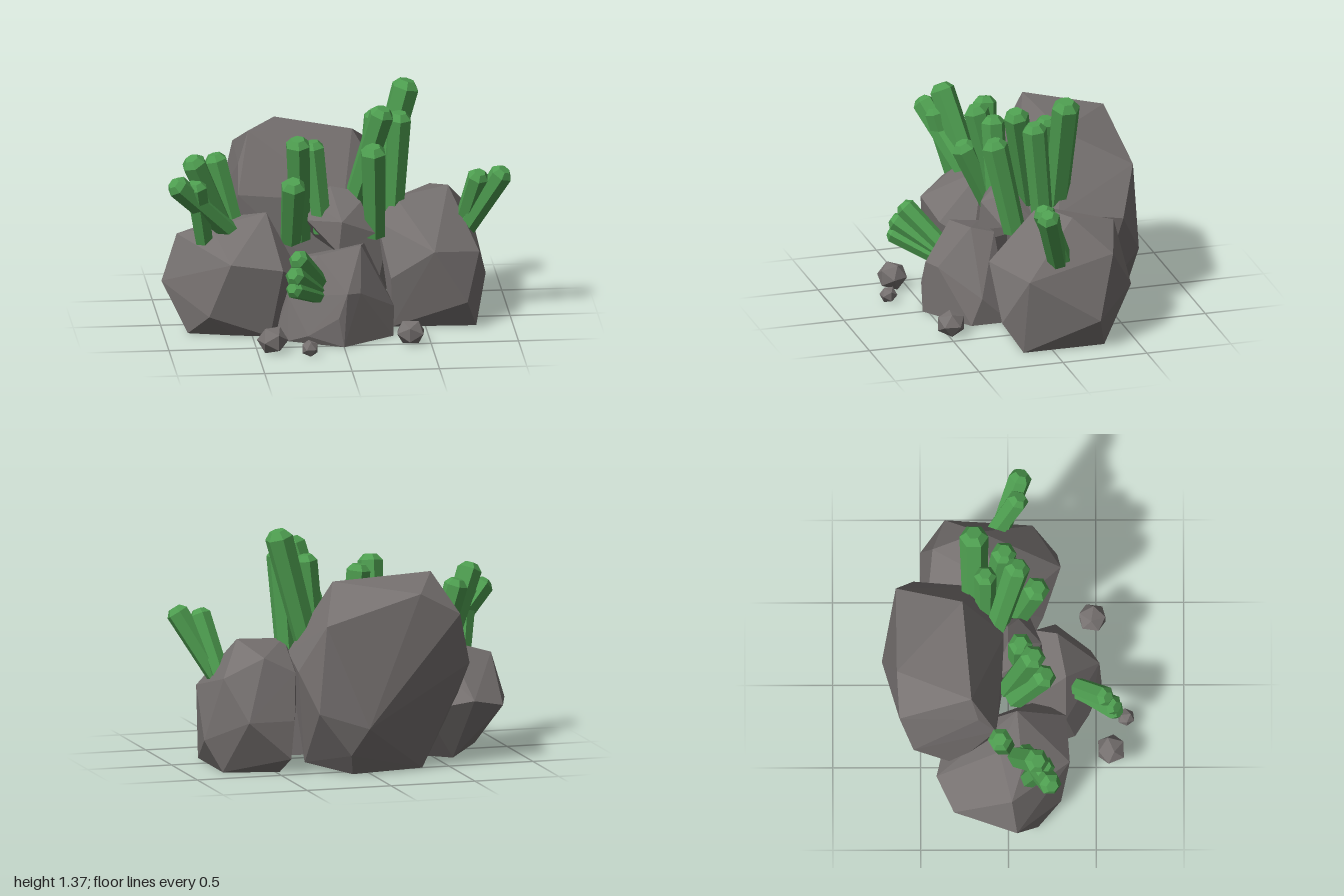
import * as THREE from 'three';
import { ConvexGeometry } from 'three/addons/geometries/ConvexGeometry.js';

// Corner points of each boulder; the hull gives its facets
const ROCKS = {
  backBoulder: [
    [-0.48, 1.08, -0.21], [0.12, 1.06, -0.26], [-0.29, 1.03, -0.635], [0.27, 0.87, -0.64], [-0.53, 0.9, -0.62],
    [-0.61, 0.6, -0.54], [-0.6, 0.35, -0.3], [-0.54, 0.9, -0.17], [-0.55, 0.74, -0.07], [0.05, 0.7, -0.02],
    [0.36, 0.65, -0.17], [0.41, 0.6, -0.54], [0.04, 0.28, -0.72], [0.32, 0.37, -0.66], [0.13, 0.12, -0.66],
    [-0.34, 0, -0.5], [0.1, 0, -0.585], [0.33, 0.05, -0.4], [-0.4, 0, -0.1], [0.2, 0, 0],
  ],
  leftBoulder: [
    [-1, 0.28, 0.05], [-0.91, 0.55, 0.02], [-0.86, 0, 0.17], [-0.88, 0.3, -0.31], [-0.68, 0.35, -0.41],
    [-0.63, 0.45, 0.35], [-0.72, 0.6, 0.08], [-0.63, 0.62, -0.05], [-0.4, 0.67, 0.05], [-0.33, 0.4, 0.33],
    [-0.2, 0.3, 0.17], [-0.75, 0.13, 0.3], [-0.6, 0, 0.24], [-0.4, 0, 0.28], [-0.3, 0, 0],
    [-0.6, 0, -0.25], [-0.4, 0.3, -0.35],
  ],
  rightBoulder: [
    [0.66, 0.74, -0.16], [0.35, 0.71, -0.05], [0.4, 0.58, -0.45], [0.58, 0.67, -0.43], [0.69, 0.31, -0.5],
    [0.42, 0.31, -0.5], [0.8, 0.55, -0.36], [0.885, 0.18, -0.26], [0.81, 0.43, 0.14], [0.54, 0.48, 0.3],
    [0.73, 0.17, 0.28], [0.3, 0.3, 0.2], [0.24, 0.58, 0], [0.31, 0, 0.15],
    [0.79, 0, 0.17], [0.79, 0, -0.31], [0.48, 0, -0.4], [0.44, 0.09, -0.5],
  ],
  frontBoulder: [
    [-0.36, 0.06, 0.3], [-0.3, 0.25, 0.33], [-0.13, 0.49, 0.33], [0.12, 0.53, 0.28], [0.15, 0.5, 0.15],
    [0.31, 0.16, 0.27], [0.02, 0.31, 0.52], [-0.03, 0.17, 0.53], [-0.2, 0.05, 0.46], [0, 0, 0.53],
    [0.1, 0.3, 0.47], [0.3, 0, 0.33], [-0.31, 0, 0.38], [-0.3, 0, 0.05], [0.3, 0, 0.1], [-0.25, 0.42, 0.12],
  ],
  perchedRock: [
    [-0.15, 0.73, 0.04], [-0.03, 0.8, 0], [0.07, 0.78, 0], [0.14, 0.72, 0.06], [0.22, 0.55, 0.12],
    [0.02, 0.64, 0.19], [-0.17, 0.63, 0.1], [0, 0.46, 0.2], [-0.14, 0.5, -0.08], [0.2, 0.55, -0.08],
  ],
};

// Crystal clusters: tip, base, radius
const CLUSTERS = {
  rightTallCrystals: [
    [[0.43, 1.36, -0.195], [0.24, 0.65, -0.19], 0.083],
    [[0.27, 1.27, 0.06], [0.1, 0.65, -0.07], 0.074],
    [[0.37, 1.22, -0.02], [0.34, 0.62, -0.08], 0.073],
    [[0.2, 1.08, 0.17], [0.22, 0.52, 0.05], 0.077],
    [[0.24, 1.2, -0.13], [0.18, 0.65, -0.13], 0.065],
  ],
  middleCrystals: [
    [[-0.23, 1.13, 0.15], [-0.2, 0.5, 0], 0.074],
    [[-0.14, 1.09, 0.07], [-0.08, 0.55, 0.06], 0.07],
    [[-0.26, 0.9, 0.22], [-0.26, 0.5, 0.04], 0.074],
  ],
  leftCrystals: [
    [[-0.84, 1.04, 0.17], [-0.63, 0.54, 0.04], 0.073],
    [[-0.95, 0.92, 0.25], [-0.6, 0.56, 0.08], 0.067],
    [[-0.82, 0.91, 0.21], [-0.76, 0.52, 0.11], 0.065],
    [[-0.69, 0.995, -0.05], [-0.57, 0.54, -0.02], 0.07],
  ],
  sideCrystals: [
    [[0.82, 0.88, 0.07], [0.73, 0.5, -0.09], 0.064],
    [[0.96, 0.895, 0.08], [0.74, 0.5, -0.05], 0.067],
  ],
  frontCrystals: [
    [[-0.28, 0.56, 0.57], [-0.11, 0.32, 0.36], 0.06],
    [[-0.305, 0.47, 0.62], [-0.13, 0.29, 0.38], 0.06],
    [[-0.31, 0.39, 0.635], [-0.13, 0.27, 0.4], 0.055],
  ],
};

// Loose pebbles: centre x, z, radius, height
const PEBBLES = [[-0.415, 0.585, 0.09, 0.145], [-0.21, 0.67, 0.052, 0.085], [0.385, 0.48, 0.088, 0.13]];

export function createModel() {
  const model = new THREE.Group();
  const stone = new THREE.MeshStandardMaterial({ color: 0x767170 });
  stone.name = 'greyStone';
  const green = new THREE.MeshStandardMaterial({ color: 0x4e9e50 });
  green.name = 'greenCrystal';

  const add = (parent, name, geometry, material) => {
    const mesh = new THREE.Mesh(geometry, material);
    mesh.name = name;
    parent.add(mesh);
    return mesh;
  };

  // Boulders
  for (const [name, points] of Object.entries(ROCKS)) {
    add(model, name, new ConvexGeometry(points.map((p) => new THREE.Vector3(...p))), stone);
  }

  // Pebbles
  PEBBLES.forEach(([x, z, r, h], i) => {
    const pebble = add(model, 'pebble' + (i + 1), new THREE.IcosahedronGeometry(r, 0), stone);
    pebble.geometry.rotateY(i * 1.3 + 0.4);
    pebble.geometry.scale(1, h / (1.7 * r), 1);
    pebble.geometry.computeVertexNormals();
    pebble.geometry.computeBoundingBox();
    pebble.position.set(x, -pebble.geometry.boundingBox.min.y, z);
  });

  // Six-sided crystal along +y with a bevelled flat tip
  const crystalGeometry = (length, r) => {
    const bevel = r * 0.5;
    const profile = [[0, 0], [r * 0.85, 0], [r, length - bevel], [r * 0.55, length], [0, length]];
    const geometry = new THREE.LatheGeometry(profile.map((p) => new THREE.Vector2(...p)), 6).toNonIndexed();
    geometry.computeVertexNormals();
    return geometry;
  };

  for (const [name, crystals] of Object.entries(CLUSTERS)) {
    const cluster = new THREE.Group();
    cluster.name = name;
    crystals.forEach(([tip, base, r], i) => {
      const start = new THREE.Vector3(...base);
      const axis = new THREE.Vector3(...tip).sub(start);
      const mesh = add(cluster, 'crystal' + (i + 1), crystalGeometry(axis.length(), r), green);
      mesh.position.copy(start);
      mesh.quaternion.setFromUnitVectors(new THREE.Vector3(0, 1, 0), axis.normalize());
    });
    model.add(cluster);
  }
  return model;
}
